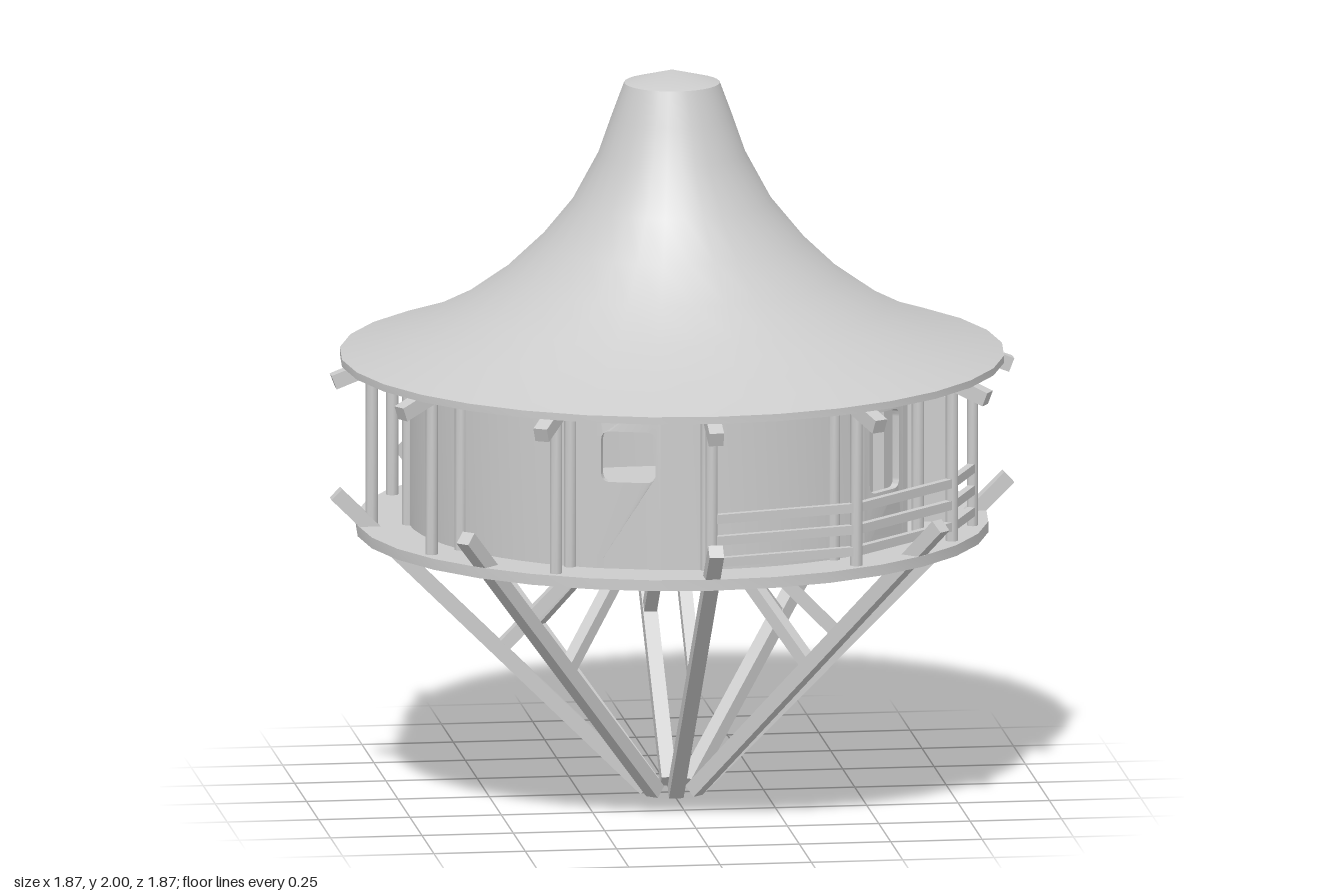
import * as THREE from 'three';
import { toCreasedNormals } from 'three/addons/utils/BufferGeometryUtils.js';

const material = new THREE.MeshStandardMaterial({ color: 0xcccccc, side: THREE.DoubleSide });
const rad = THREE.MathUtils.degToRad;
const FLOOR = 0.76, WALL_R = 0.7, WALL_T = 0.02, WALL_TOP = 1.25, POST_R = 0.822;

// Point at a bearing (degrees from the front, towards +x), radius and height
const polar = (deg, r, y) => new THREE.Vector3(r * Math.sin(rad(deg)), y, r * Math.cos(rad(deg)));
const V2 = (p) => new THREE.Vector2(p[0], p[1]);

export function createModel() {
  const model = new THREE.Group();

  const add = (name, geometry, parent = model) => {
    const mesh = new THREE.Mesh(geometry, material);
    mesh.name = name;
    parent.add(mesh);
    return mesh;
  };
  const group = (name) => {
    const g = new THREE.Group();
    g.name = name;
    model.add(g);
    return g;
  };
  const beam = (name, a, b, w, h, parent) => {
    const mesh = add(name, new THREE.BoxGeometry(w, h, a.distanceTo(b)), parent);
    mesh.position.copy(a).add(b).multiplyScalar(0.5);
    mesh.lookAt(b);
  };
  const pole = (name, deg, r, y0, y1, radius, parent) => {
    const mesh = add(name, toCreasedNormals(new THREE.CylinderGeometry(radius, radius, y1 - y0, 8), 0.9), parent);
    mesh.position.copy(polar(deg, r, (y0 + y1) / 2));
  };
  const lathe = (points, segments, start = 0, sweep = 360) =>
    toCreasedNormals(new THREE.LatheGeometry(points.map(V2), segments, rad(start), rad(sweep)), 0.6);
  const ring = (r0, r1, y0, y1) => [[r0, y0], [r1, y0], [r1, y1], [r0, y1], [r0, y0]];

  // Rectangle with rounded bottom (ra) and top (rb) corners
  const rounded = (path, x0, x1, y0, y1, ra, rb) => {
    path.moveTo(x0 + ra, y0).lineTo(x1 - ra, y0);
    path.quadraticCurveTo(x1, y0, x1, y0 + ra).lineTo(x1, y1 - rb);
    path.quadraticCurveTo(x1, y1, x1 - rb, y1).lineTo(x0 + rb, y1);
    path.quadraticCurveTo(x0, y1, x0, y1 - rb).lineTo(x0, y0 + ra);
    path.quadraticCurveTo(x0, y0, x0 + ra, y0);
    return path;
  };
  const extrude = (shape, depth) =>
    new THREE.ExtrudeGeometry(shape, { depth, bevelEnabled: false, curveSegments: 6 });

  // Flared roof shell with a shallow cap
  const outer = [[0.903, 1.22], [0.72, 1.28], [0.58, 1.35], [0.46, 1.435], [0.36, 1.53],
    [0.27, 1.64], [0.2, 1.77], [0.165, 1.87], [0.13, 1.965]];
  const inner = outer.slice(1).reverse().map(([r, y]) => [r - 0.01, y - 0.02]);
  add('roof', lathe([[0, 1.94], ...inner, [0.903, 1.2], ...outer, [0, 2]], 32));

  // Rafters under the eaves
  const rafters = group('rafters');
  for (let d = 0; d < 360; d += 30)
    beam('rafter', polar(d, 0.5, 1.325), polar(d, 0.927, 1.161), 0.04, 0.04, rafters);

  // Deck with a small rim under its middle
  add('deck', lathe([[0, 0.73], [0.86, 0.73], [0.86, FLOOR], [0, FLOOR]], 32));
  add('deckRim', lathe(ring(0.098, 0.113, 0.71, 0.735), 24));

  // Splayed legs meeting near the ground, each with an inner brace
  const legs = group('legs');
  for (let d = 0; d < 360; d += 45) {
    beam('leg', polar(d, 0.075, 0.014), polar(d, 0.92, 0.85), 0.04, 0.04, legs);
    beam('brace', polar(d, 0.46, 0.42), polar(d, 0.145, 0.74), 0.035, 0.035, legs);
  }

  // Curved wall: window panels are bent around the room, plain arcs fill between
  const walls = group('walls');
  const windows = [
    { at: 134, half: 0.065, y0: 0.92 }, { at: 197, half: 0.073, y0: 1.0 },
    { at: 343, half: 0.073, y0: 1.0 }, { at: 406, half: 0.065, y0: 0.92 },
  ];
  const PANEL = 7;
  const arc = (from, to) =>
    add('wall', lathe(ring(WALL_R, WALL_R + WALL_T, FLOOR, WALL_TOP), Math.ceil((to - from) / 6), from, to - from), walls);
  let from = 125;
  for (const { at, half, y0 } of windows) {
    arc(from, at - PANEL);
    const w = rad(PANEL) * WALL_R;
    const shape = rounded(new THREE.Shape(), -w, w, FLOOR, WALL_TOP, 0, 0);
    shape.holes.push(rounded(new THREE.Path(), -half, half, y0, 1.14, 0.025, 0.025));
    const geometry = extrude(shape, WALL_T);
    const pos = geometry.attributes.position;
    for (let i = 0; i < pos.count; i++) {
      const a = rad(at) + pos.getX(i) / WALL_R, r = WALL_R + pos.getZ(i);
      pos.setXYZ(i, r * Math.sin(a), pos.getY(i), r * Math.cos(a));
    }
    add('windowWall', toCreasedNormals(geometry, 0.6), walls);
    from = at + PANEL;
  }
  arc(from, 415);

  // Flat entrance wall facing +x, with an arched doorway
  const entrance = group('entrance');
  entrance.position.x = 0.565;
  entrance.rotation.y = Math.PI / 2;
  const front = rounded(new THREE.Shape(), -0.415, 0.415, FLOOR, WALL_TOP, 0, 0);
  front.holes.push(rounded(new THREE.Path(), -0.115, 0.115, FLOOR + 0.01, 1.13, 0, 0.07));
  add('entranceWall', extrude(front, WALL_T), entrance);
  const trim = rounded(new THREE.Shape(), -0.14, 0.14, FLOOR, 1.16, 0, 0.09);
  trim.holes.push(rounded(new THREE.Path(), -0.115, 0.115, FLOOR + 0.01, 1.13, 0, 0.07));
  add('doorFrame', extrude(trim, 0.03), entrance);

  // Door leaf, standing open
  const leaf = add('door', extrude(rounded(new THREE.Shape(), 0, 0.185, FLOOR + 0.005, 1.12, 0.01, 0.05), 0.02));
  leaf.position.set(0.585, 0, 0.1);
  leaf.rotation.y = -Math.atan2(0.085, 0.16);

  // Wall posts and veranda posts; the entrance side is left clear
  const posts = group('posts');
  for (let d = 0; d < 360; d += 30) {
    if (d === 90) continue;
    pole('wallPost', d, 0.722, FLOOR, 1.24, 0.017, posts);
    pole('verandaPost', d, POST_R, FLOOR, 1.2, 0.017, posts);
  }
  for (const d of [75, 105]) pole('gatePost', d, POST_R, FLOOR, 1.2, 0.015, posts);

  // Three rails between the veranda posts, either side of the entrance
  const railing = group('railing');
  for (const run of [[0, 30, 60, 75], [105, 120, 150, 180]])
    for (const y of [0.8, 0.86, 0.92])
      for (let i = 0; i < run.length - 1; i++)
        beam('rail', polar(run[i], POST_R, y), polar(run[i + 1], POST_R, y), 0.02, 0.025, railing);

  return model;
}
